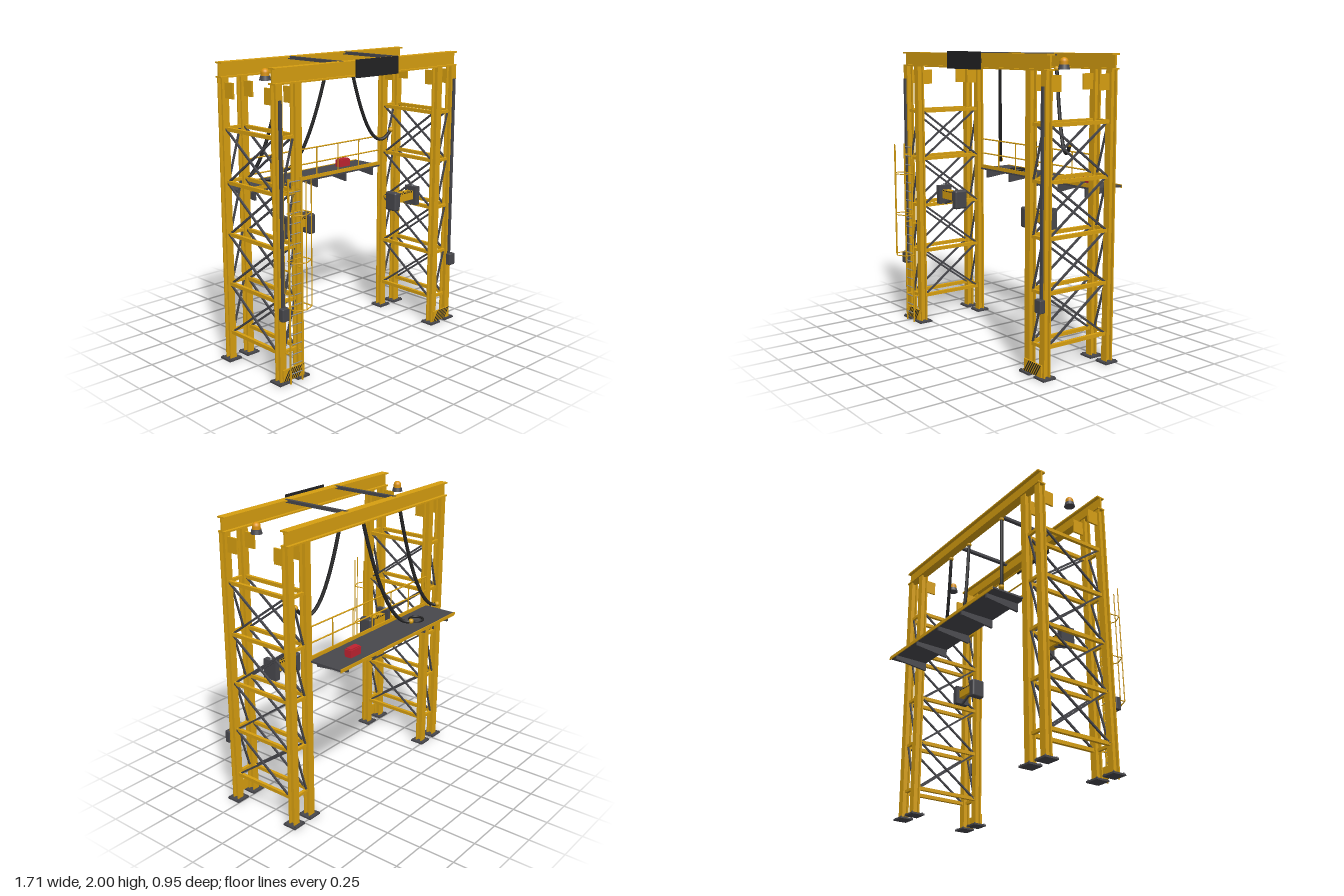
import * as THREE from 'three';
import { RoundedBoxGeometry } from 'three/addons/geometries/RoundedBoxGeometry.js';

export function createModel() {
  const mat = (name, color, side = THREE.FrontSide) => {
    const m = new THREE.MeshStandardMaterial({ color, side });
    m.name = name;
    return m;
  };
  const yellow = mat('safety yellow', 0xd69e10);
  const grey = mat('dark grey', 0x47474c);
  const black = mat('black', 0x222223);
  const red = mat('red', 0xbe2230);
  const amber = mat('amber', 0xdb930f);
  const steel = mat('steel', 0x8d9095);

  const root = new THREE.Group();
  const group = (name) => {
    const g = new THREE.Group();
    g.name = name;
    root.add(g);
    return g;
  };
  const add = (parent, name, geo, m, x = 0, y = 0, z = 0) => {
    const mesh = new THREE.Mesh(geo, m);
    mesh.name = name;
    mesh.position.set(x, y, z);
    parent.add(mesh);
    return mesh;
  };
  const box = (parent, name, m, w, h, d, x, y, z) =>
    add(parent, name, new THREE.BoxGeometry(w, h, d), m, x, y, z);
  const V = (x, y, z) => new THREE.Vector3(x, y, z);
  // Straight bar between two points, square or round
  const bar = (parent, name, m, a, b, t, round = false) => {
    const dir = b.clone().sub(a), len = dir.length();
    const geo = round ? new THREE.CylinderGeometry(t / 2, t / 2, len, 8) : new THREE.BoxGeometry(t, len, t);
    const mesh = add(parent, name, geo, m);
    mesh.position.copy(a).add(b).multiplyScalar(0.5);
    mesh.quaternion.setFromUnitVectors(V(0, 1, 0), dir.normalize());
    return mesh;
  };
  const polygon = (pts) => new THREE.Shape(pts.map(([x, y]) => new THREE.Vector2(x, y)));
  // I-section extruded along z, centred
  const iBeam = (w, h, flange, web, len) => {
    const a = w / 2, b = h / 2, c = b - flange, d = web / 2;
    return new THREE.ExtrudeGeometry(polygon([
      [-a, -b], [a, -b], [a, -c], [d, -c], [d, c], [a, c],
      [a, b], [-a, b], [-a, c], [-d, c], [-d, -c], [-a, -c],
    ]), { depth: len, bevelEnabled: false }).translate(0, 0, -len / 2);
  };

  const zFront = 0.3, zBack = -0.215, xOuter = 0.805, xInner = 0.655;
  const levels = [0.2, 0.54, 0.88, 1.225, 1.57];

  // Lattice towers
  for (const s of [-1, 1]) {
    const tower = group(s < 0 ? 'rightTower' : 'leftTower');
    for (const ax of [xInner, xOuter]) {
      const x = s * ax;
      for (const z of [zFront, zBack]) {
        add(tower, 'column', iBeam(0.05, 0.05, 0.009, 0.01, 1.88).rotateX(-Math.PI / 2), yellow, x, 0.95, z);
        box(tower, 'basePlate', grey, 0.1, 0.012, 0.1, x, 0.006, z);
        for (const i of [-1, 1]) for (const j of [-1, 1])
          add(tower, 'anchorBolt', new THREE.CylinderGeometry(0.006, 0.006, 0.008, 6), grey, x + i * 0.04, 0.015, z + j * 0.04);
        const inward = z > 0 ? -1 : 1;
        box(tower, 'gussetPlate', yellow, 0.012, 0.1, 0.08, x, 1.815, z + inward * 0.065);
      }
      levels.forEach((y, i) => {
        box(tower, 'sideTie', yellow, 0.022, 0.024, 0.465, x, y, 0.0425);
        if (i === levels.length - 1) return;
        const y2 = levels[i + 1];
        bar(tower, 'sideBrace', grey, V(x - 0.005, y, 0.275), V(x - 0.005, y2, -0.19), 0.012);
        bar(tower, 'sideBrace', grey, V(x + 0.005, y, -0.19), V(x + 0.005, y2, 0.275), 0.012);
      });
    }
    for (const z of [zFront, zBack]) levels.forEach((y, i) => {
      box(tower, 'endTie', yellow, 0.1, 0.02, 0.02, s * 0.73, y, z);
      if (i < levels.length - 1)
        bar(tower, 'endBrace', grey, V(s * 0.73 - 0.05, y, z), V(s * 0.73 + 0.05, levels[i + 1], z), 0.011);
    });

    // Striped guard at the foot
    box(tower, 'footGuard', yellow, 0.175, 0.08, 0.01, s * 0.7275, 0.055, 0.333);
    for (let i = 0; i < 7; i++) {
      const stripe = polygon([[0, 0], [0.01, 0], [0.06, 0.08], [0.05, 0.08]]);
      add(tower, 'guardStripe', new THREE.ShapeGeometry(stripe), black, s * 0.7275 - 0.087 + i * 0.019, 0.015, 0.3385);
    }

    // Vertical track and its drive box
    box(tower, 'track', grey, 0.02, 1.3, 0.012, s * 0.805, 1.15, 0.331);
    add(tower, 'trackBox', new RoundedBoxGeometry(0.058, 0.085, 0.04, 2, 0.006), grey, s * 0.807, 0.473, 0.345);

    // Warning beacon
    const beacon = group('beacon');
    beacon.position.set(s * 0.727, 1.895, 0.105);
    add(beacon, 'beaconBase', new THREE.CylinderGeometry(0.03, 0.037, 0.028, 20), grey, 0, 0.014, 0);
    add(beacon, 'beaconStem', new THREE.CylinderGeometry(0.027, 0.027, 0.022, 20), amber, 0, 0.037, 0);
    add(beacon, 'beaconDome', new THREE.SphereGeometry(0.027, 20, 10, 0, Math.PI * 2, 0, Math.PI / 2), amber, 0, 0.046, 0);

    // Scanner arm reaching inward
    const arm = group('scannerArm');
    arm.position.set(s * 0.63, 0.95, 0.125);
    const X = (d) => -s * d;
    box(arm, 'armMount', grey, 0.04, 0.135, 0.105, X(0.015), 0.005, 0);
    box(arm, 'armBeam', yellow, 0.165, 0.062, 0.055, X(0.11), 0.01, 0);
    add(arm, 'armHead', new RoundedBoxGeometry(0.052, 0.135, 0.1, 2, 0.014), grey, X(0.222), -0.007, 0);
    box(arm, 'armCollar', grey, 0.014, 0.1, 0.08, X(0.193), 0, 0);
    bar(arm, 'armStrut', grey, V(X(0.03), -0.062, 0), V(X(0.13), -0.018, 0), 0.014);
    add(arm, 'mountBolt', new THREE.CylinderGeometry(0.008, 0.008, 0.012, 8), steel, X(0.012), 0.078, 0);
    for (let i = 0; i < 7; i++)
      box(arm, 'armDash', black, 0.01, 0.008, 0.057, X(0.05 + i * 0.02), 0.037, 0);
  }

  // Top girders and cross members
  const top = group('topFrame');
  for (const [name, z] of [['frontGirder', 0.295], ['backGirder', -0.22]])
    add(top, name, iBeam(0.06, 0.1, 0.01, 0.012, 1.67).rotateY(Math.PI / 2), yellow, 0, 1.94, z);
  for (const s of [-1, 1]) box(top, 'crossMember', grey, 0.026, 0.02, 0.51, s * 0.255, 1.981, 0.0375);
  box(top, 'signPanel', black, 0.385, 0.115, 0.01, 0, 1.9425, 0.35);
  for (const s of [-1, 1]) box(top, 'signBracket', black, 0.012, 0.03, 0.046, s * 0.13, 1.94, 0.323);

  // Service platform
  const deck = group('platform');
  box(deck, 'deckPlate', grey, 1.28, 0.012, 0.25, 0, 1.116, -0.35);
  box(deck, 'rearEdge', yellow, 1.28, 0.022, 0.006, 0, 1.115, -0.476);
  box(deck, 'toeBoard', yellow, 1.26, 0.032, 0.008, 0, 1.131, -0.23);
  const bracketShape = polygon([[0.225, 1.11], [0.225, 1.053], [0.47, 1.08], [0.47, 1.11]]);
  for (let i = -2; i <= 2; i++) {
    const geo = new THREE.ExtrudeGeometry(bracketShape, { depth: 0.014, bevelEnabled: false });
    add(deck, 'deckBracket', geo.translate(0, 0, -0.007).rotateY(Math.PI / 2), grey, i * 0.28);
  }
  for (let i = -3; i <= 3; i++)
    bar(deck, 'railPost', yellow, V(i * 0.209, 1.12, -0.23), V(i * 0.209, 1.343, -0.23), 0.009, true);
  for (const y of [1.235, 1.342]) bar(deck, 'handRail', yellow, V(-0.63, y, -0.23), V(0.63, y, -0.23), 0.01, true);

  // Tool box and coiled cable on the platform
  box(deck, 'toolBox', red, 0.104, 0.05, 0.05, 0.405, 1.147, -0.385);
  box(deck, 'toolBoxLid', red, 0.09, 0.008, 0.04, 0.405, 1.175, -0.385);
  add(deck, 'cableCoil', new THREE.TorusGeometry(0.047, 0.009, 8, 28).rotateX(Math.PI / 2), black, -0.345, 1.131, -0.35);

  // Hanging cables, each a sagging curve between two end fittings
  const cables = group('hangingCables');
  for (const [a, b, sag] of [
    [V(-0.345, 1.885, -0.19), V(-0.58, 1.18, -0.365), 0.81],
    [V(0.06, 1.885, -0.19), V(-0.195, 1.175, -0.41), 0.81],
    [V(0.298, 1.885, -0.19), V(0.585, 1.415, -0.067), 0.98],
  ]) {
    const pts = [];
    for (let i = 0; i <= 12; i++) {
      const t = i / 12, p = a.clone().lerp(b, t);
      p.y -= sag * t * (1 - t);
      pts.push(p);
    }
    add(cables, 'cable', new THREE.TubeGeometry(new THREE.CatmullRomCurve3(pts), 36, 0.012, 8), black);
    for (const p of [a, b]) add(cables, 'cableFitting', new THREE.SphereGeometry(0.018, 14, 10), yellow, p.x, p.y, p.z);
  }

  // Access ladder with safety cage
  const ladder = group('ladder');
  const lx = -0.727;
  for (const s of [-1, 1]) bar(ladder, 'ladderRail', yellow, V(lx + s * 0.05, 0, 0.362), V(lx + s * 0.05, 1.33, 0.362), 0.009);
  for (let y = 0.065; y < 1.32; y += 0.0655)
    bar(ladder, 'rung', steel, V(lx - 0.05, y, 0.362), V(lx + 0.05, y, 0.362), 0.007, true);
  const hoop = [[-0.064, 0.362], [-0.073, 0.432], [0, 0.466], [0.073, 0.432], [0.064, 0.362]];
  for (const y of [0.517, 0.82, 1.12]) hoop.forEach(([x, z], i) => {
    const [x2, z2] = hoop[(i + 1) % hoop.length];
    bar(ladder, 'cageHoop', yellow, V(lx + x, y, z), V(lx + x2, y, z2), 0.007, true);
  });
  for (const [x, z] of hoop.slice(1, 4))
    bar(ladder, 'cageBar', yellow, V(lx + x, 0.515, z), V(lx + x, 1.33, z), 0.007, true);
  for (const y of [0.2, 0.75, 1.25]) for (const s of [-1, 1])
    bar(ladder, 'ladderBracket', yellow, V(lx + s * 0.05, y, 0.362), V(lx + s * 0.055, y, 0.31), 0.008);

  return root;
}
